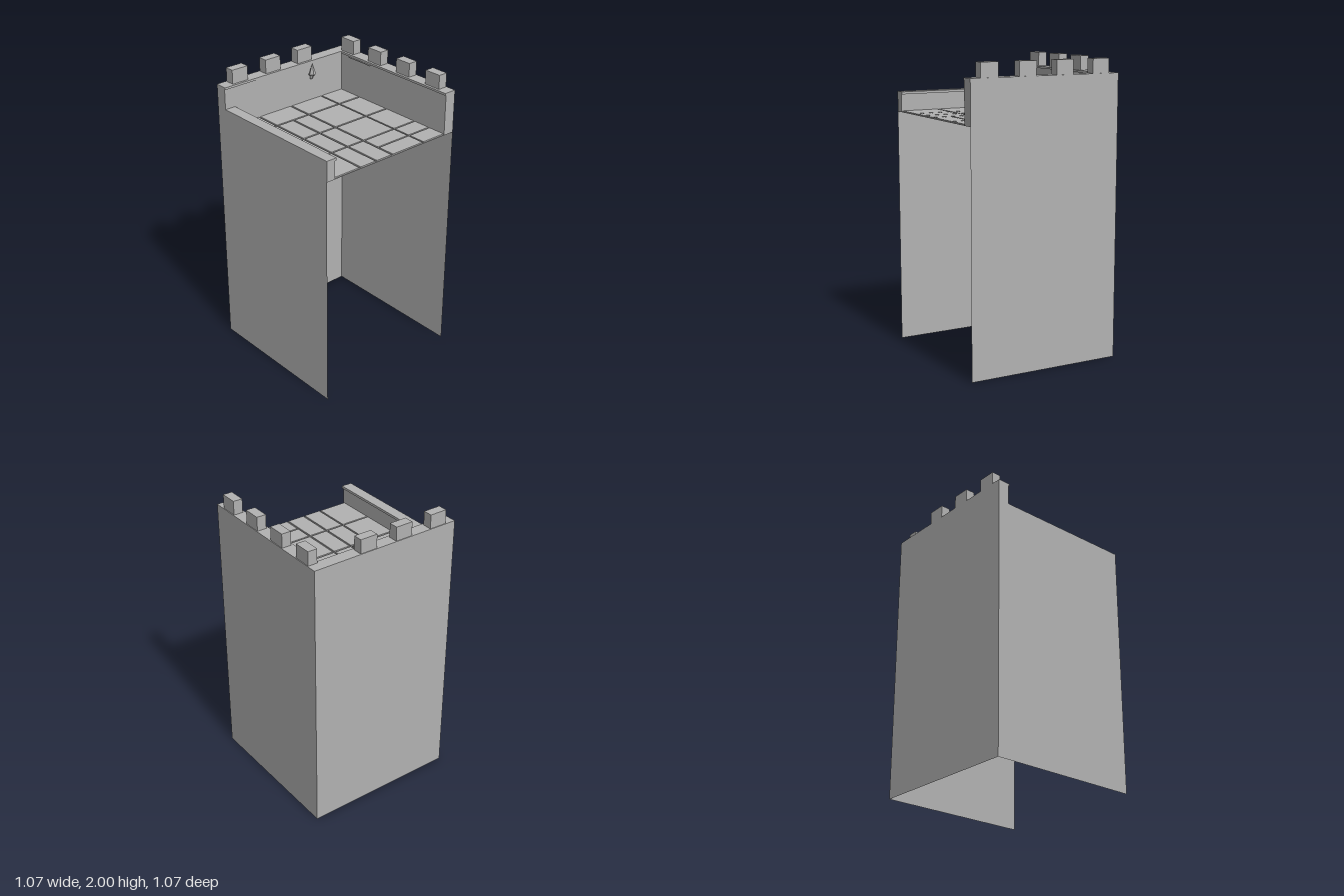
import * as THREE from 'three';

export function createModel() {
  const model = new THREE.Group();
  model.name = 'castleTower';

  const stone = new THREE.MeshStandardMaterial({ color: 0xb2b2b2, side: THREE.DoubleSide, flatShading: true });
  stone.name = 'stone';

  const add = (name, geometry, parent = model) => {
    const mesh = new THREE.Mesh(geometry, stone);
    mesh.name = name;
    parent.add(mesh);
    return mesh;
  };
  // Box given by its lower and upper limits on each axis
  const block = (name, [x0, x1], [y0, y1], [z0, z1], parent) =>
    add(name, new THREE.BoxGeometry(x1 - x0, y1 - y0, z1 - z0)
      .translate((x0 + x1) / 2, (y0 + y1) / 2, (z0 + z1) / 2), parent);
  const group = (name) => {
    const g = new THREE.Group();
    g.name = name;
    model.add(g);
    return g;
  };

  const R = 0.537, IN = -0.457, LIP = -0.45;
  const FLOOR = 1.613, CAP = 1.89, TOP = 1.905, FRONT = 1.735;

  // Thin tower walls, open at the bottom and on the +x side
  const walls = [['frontWall', 0, 0, R], ['backWall', Math.PI, 0, -R], ['sideWall', -Math.PI / 2, -R, 0]];
  for (const [name, turn, x, z] of walls) {
    const wall = add(name, new THREE.PlaneGeometry(2 * R, FLOOR));
    wall.rotation.y = turn;
    wall.position.set(x, FLOOR / 2, z);
  }

  // Parapets with overhanging caps
  const parapets = group('parapets');
  block('sideParapet', [-R, IN], [FLOOR, CAP], [-R, R], parapets);
  block('sideCap', [-R, LIP], [CAP, TOP], [-R, R], parapets);
  block('backParapet', [IN, R], [FLOOR, CAP], [-R, IN], parapets);
  block('backCap', [LIP, R], [CAP, TOP], [-R, LIP], parapets);
  block('frontParapet', [IN, R], [FLOOR, FRONT], [0.475, R], parapets);
  block('frontCap', [IN, R], [FRONT, 1.752], [0.461, R], parapets);
  block('capChip', [-0.37, -0.165], [1.882, CAP], [IN, -0.447], parapets);

  // Battlements along the back and the side
  const battlements = group('battlements');
  for (let i = 0; i < 4; i++) {
    const a = -0.467 + i * 0.2695;
    const span = [a, a + 0.122], depth = [-0.532, -0.467];
    block('backMerlon', span, [TOP, 2], depth, battlements);
    if (i > 0) block('sideMerlon', depth, [TOP, 2], span, battlements);
  }

  // Floor slab with raised paving tiles
  const floor = group('floor');
  const slab = add('floorSlab', new THREE.PlaneGeometry(R - IN, 0.475 - IN), floor);
  slab.rotation.x = -Math.PI / 2;
  slab.position.set((R + IN) / 2, FLOOR, (0.475 + IN) / 2);

  const rowA = [IN, -0.278], rowB = [-0.267, -0.01], rowC = [0.003, 0.125];
  const rowD = [0.138, 0.26], rowE = [0.272, 0.475];
  const all = [rowA, rowB, rowC, rowD, rowE];
  const columns = [
    [[IN, -0.277], [rowA, rowB, [0.003, 0.26], rowE]],
    [[-0.265, -0.008], all],
    [[0.004, 0.261], all],
    [[0.272, 0.395], [rowA, rowB]],
    [[0.406, 0.53], [rowA, rowB]],
    [[0.272, 0.53], [rowC, rowD, rowE]],
  ];
  for (const [xs, rows] of columns)
    for (const zs of rows) block('tile', xs, [FLOOR, 1.622], zs, floor);

  // Wall torch: bracket, handle and faceted flame
  const torch = group('torch');
  torch.position.set(-0.422, 0, -0.165);
  block('torchBracket', [-0.035, 0.002], [1.805, 1.815], [-0.006, 0.006], torch);
  const handle = add('torchHandle', new THREE.CylinderGeometry(0.017, 0.011, 0.055, 5), torch);
  handle.position.set(-0.006, 1.813, 0);
  handle.rotation.z = -0.2;
  const profile = [[0, 1.808], [0.014, 1.81], [0.025, 1.822], [0.013, 1.862], [0, 1.902]];
  add('torchFlame', new THREE.LatheGeometry(profile.map(([r, y]) => new THREE.Vector2(r, y)), 5), torch);

  return model;
}
